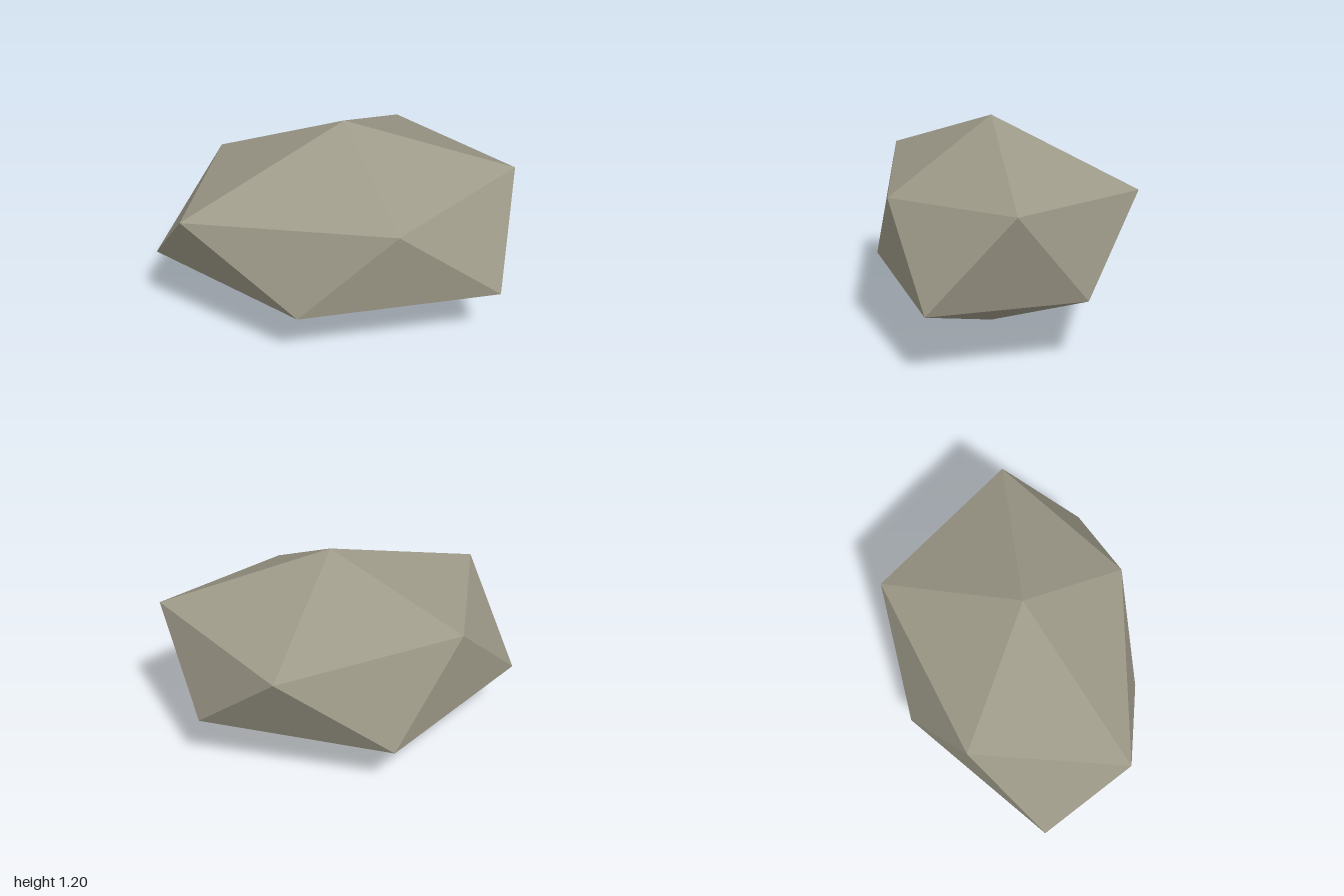
import * as THREE from 'three';

export function createModel() {
  const stone = new THREE.MeshStandardMaterial({ color: 0x9d9988 });
  stone.name = 'stone';

  // Top and bottom points, and two staggered rings of five corners
  const top = [0.06, 1.2, 0.06];
  const bottom = [0.06, 0, 0.06];
  const upper = [
    [1, 0.9, 0.06], [0.4, 0.84, -0.69], [-0.63, 0.85, -0.32], [-0.8, 0.86, 0.53], [0.33, 0.83, 0.65],
  ];
  const lower = [
    [0.81, 0.375, -0.34], [-0.24, 0.31, -0.62], [-1, 0.37, 0.06], [-0.2, 0.35, 0.69], [0.9, 0.37, 0.51],
  ];

  // Cap, side band and base facets, with separate corners for flat faces
  const positions = [];
  const facet = (...corners) => corners.forEach((c) => positions.push(...c));
  for (let i = 0; i < 5; i++) {
    const j = (i + 1) % 5;
    facet(top, upper[i], upper[j]);
    facet(upper[i], lower[i], upper[j]);
    facet(lower[i], lower[j], upper[j]);
    facet(bottom, lower[j], lower[i]);
  }
  const geometry = new THREE.BufferGeometry();
  geometry.setAttribute('position', new THREE.Float32BufferAttribute(positions, 3));
  geometry.computeVertexNormals();

  const rock = new THREE.Mesh(geometry, stone);
  rock.name = 'rock';
  const group = new THREE.Group();
  group.name = 'boulder';
  group.add(rock);
  return group;
}
